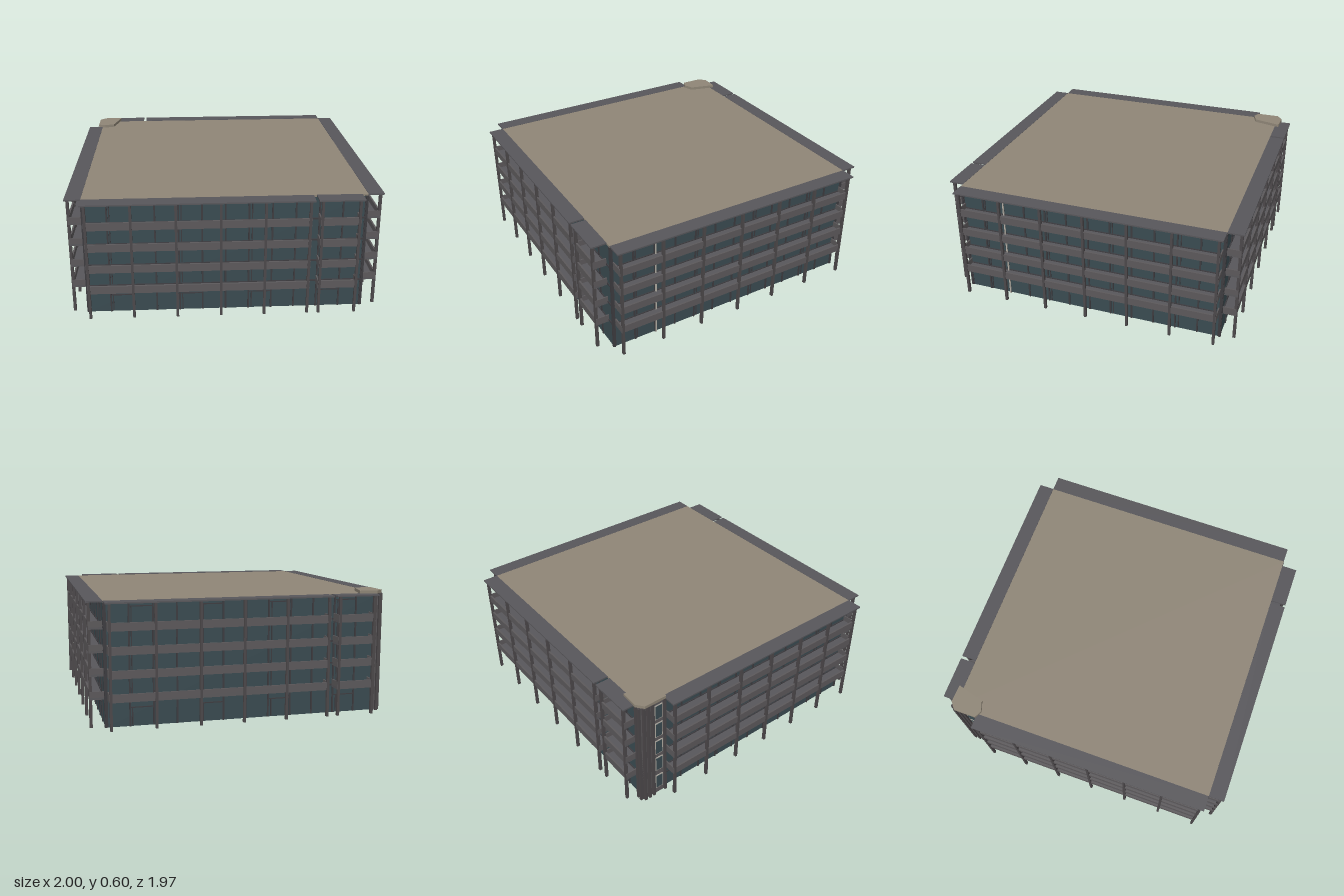
import * as THREE from 'three';

const mat = (name, color, extra = {}) => {
  const m = new THREE.MeshStandardMaterial({ color, ...extra });
  m.name = name;
  return m;
};

export function createModel() {
  const roofTan = mat('roofTan', 0x8f8677);
  const slabGrey = mat('slabGrey', 0x58575b);
  const railGrey = mat('railGrey', 0x5c595b);
  const postGrey = mat('postGrey', 0x4c484a);
  const glass = mat('glass', 0x3a4b51);
  const frameDark = mat('frameDark', 0x3d3c40);
  const frameLight = mat('frameLight', 0xb4afa5);

  const HALF = 0.668, DEPTH = 0.745, ROOF = 0.58;
  const levels = [0.148, 0.256, 0.364, 0.472];

  // Box given by its min and max along each axis
  const box = (parent, name, m, x0, x1, y0, y1, z0, z1) => {
    const mesh = new THREE.Mesh(new THREE.BoxGeometry(x1 - x0, y1 - y0, z1 - z0), m);
    mesh.position.set((x0 + x1) / 2, (y0 + y1) / 2, (z0 + z1) / 2);
    mesh.name = name;
    parent.add(mesh);
    return mesh;
  };

  const model = new THREE.Group();
  model.name = 'apartmentBlock';
  const block = new THREE.Group();
  block.name = 'rotatedBlock';
  block.rotation.y = 0.726;
  block.position.z = -0.01;
  model.add(block);

  // Hollow shell: only the roof closes it, the bottom is open
  box(block, 'roof', roofTan, -HALF, HALF, 0.574, ROOF + 0.003, -HALF, HALF);

  // One glazed wall with its mullions, along x and facing +z
  const addWall = (side) => {
    box(side, 'glassWall', glass, -HALF, HALF, 0, 0.574, HALF - 0.008, HALF - 0.002);
    const count = 12;
    for (let i = 0; i <= count; i++) {
      const x = -HALF + 0.004 + (i * (2 * HALF - 0.008)) / count;
      box(side, 'mullion', frameDark, x - 0.004, x + 0.004, 0, 0.574, HALF - 0.013, HALF + 0.003);
    }
    for (const y of levels) {
      box(side, 'transom', frameDark, -HALF, HALF, y - 0.012, y - 0.004, HALF - 0.013, HALF + 0.003);
    }
    // Door frames inside some bays
    for (const bay of [1, 4, 7, 10]) {
      const x = -HALF + (bay * 2 * HALF) / count;
      for (const y of [0.004, ...levels]) {
        box(side, 'doorHead', frameDark, x, x + 0.11, y + 0.082, y + 0.087, HALF - 0.011, HALF + 0.002);
        box(side, 'doorJamb', frameDark, x + 0.012, x + 0.017, y, y + 0.084, HALF - 0.011, HALF + 0.002);
      }
    }
  };

  // Stack of balconies from x0 to x1 with posts and an overhanging eave
  const addBalconies = (side, x0, x1, bays) => {
    box(side, 'eave', slabGrey, x0, x1, 0.577, ROOF + 0.004, HALF, DEPTH);
    for (const y of levels) {
      box(side, 'balconySlab', slabGrey, x0 + 0.012, x1 - 0.012, y - 0.016, y - 0.008, HALF, DEPTH - 0.012);
      box(side, 'balconyParapet', railGrey, x0 + 0.012, x1 - 0.012, y - 0.018, y + 0.02, DEPTH - 0.018, DEPTH - 0.01);
      for (const x of [x0 + 0.012, x1 - 0.018]) {
        box(side, 'endParapet', railGrey, x, x + 0.006, y - 0.018, y + 0.02, HALF, DEPTH - 0.012);
      }
    }
    for (let i = 0; i <= bays; i++) {
      const x = x0 + 0.02 + ((x1 - x0 - 0.04) * i) / bays;
      box(side, 'post', postGrey, x - 0.006, x + 0.006, 0, 0.577, DEPTH - 0.021, DEPTH - 0.007);
    }
  };

  const sides = [
    ['frontSide', 0, [[-HALF, HALF, 6]]],
    ['leftSide', Math.PI / 2, [[-HALF, 0.41, 5], [0.425, 0.64, 1]]],
    ['backSide', Math.PI, [[-0.55, HALF, 6]]],
    ['rightSide', -Math.PI / 2, [[-HALF, 0.41, 5], [0.425, 0.64, 1]]],
  ];
  for (const [name, turn, stacks] of sides) {
    const side = new THREE.Group();
    side.name = name;
    side.rotation.y = turn;
    block.add(side);
    addWall(side);
    for (const [x0, x1, bays] of stacks) addBalconies(side, x0, x1, bays);
  }

  // Pale downpipe on the front wall
  box(block, 'downpipe', frameLight, -0.443, -0.437, 0, 0.574, HALF + 0.002, HALF + 0.008);

  // Stair tower wrapped round the back corner
  const tower = new THREE.Group();
  tower.name = 'stairTower';
  block.add(tower);
  box(tower, 'towerPanel', railGrey, 0.55, 0.62, 0, 0.583, -0.68, -HALF);
  box(tower, 'towerCorner', railGrey, 0.62, 0.678, 0, 0.583, -0.676, -0.648);
  for (const x of [0.552, 0.618, 0.642, 0.666]) {
    box(tower, 'towerRib', postGrey, x - 0.006, x + 0.006, 0, 0.583, -0.69, -0.67);
  }
  for (const z of [-0.67, -0.648]) {
    box(tower, 'towerRib', postGrey, 0.67, 0.69, 0, 0.583, z - 0.006, z + 0.006);
  }
  // Framed stair windows, one for each storey
  for (const y of [0.03, ...levels]) {
    box(tower, 'stairWindowFrame', frameLight, 0.563, 0.607, y + 0.004, y + 0.088, -0.683, -0.679);
    box(tower, 'stairWindowPane', glass, 0.568, 0.602, y + 0.009, y + 0.083, -0.685, -0.68);
  }
  // Faceted cap over the tower (outline as x, -z)
  const outline = [[0.532, 0.652], [0.55, 0.60], [0.688, 0.564], [0.692, 0.654], [0.663, 0.69], [0.549, 0.69]];
  const shape = new THREE.Shape(outline.map(([x, y]) => new THREE.Vector2(x, y)));
  const cap = new THREE.Mesh(
    new THREE.ExtrudeGeometry(shape, { depth: 0.015, bevelEnabled: false }), roofTan);
  cap.rotation.x = -Math.PI / 2;
  cap.position.y = 0.583;
  cap.name = 'towerCap';
  tower.add(cap);

  return model;
}
